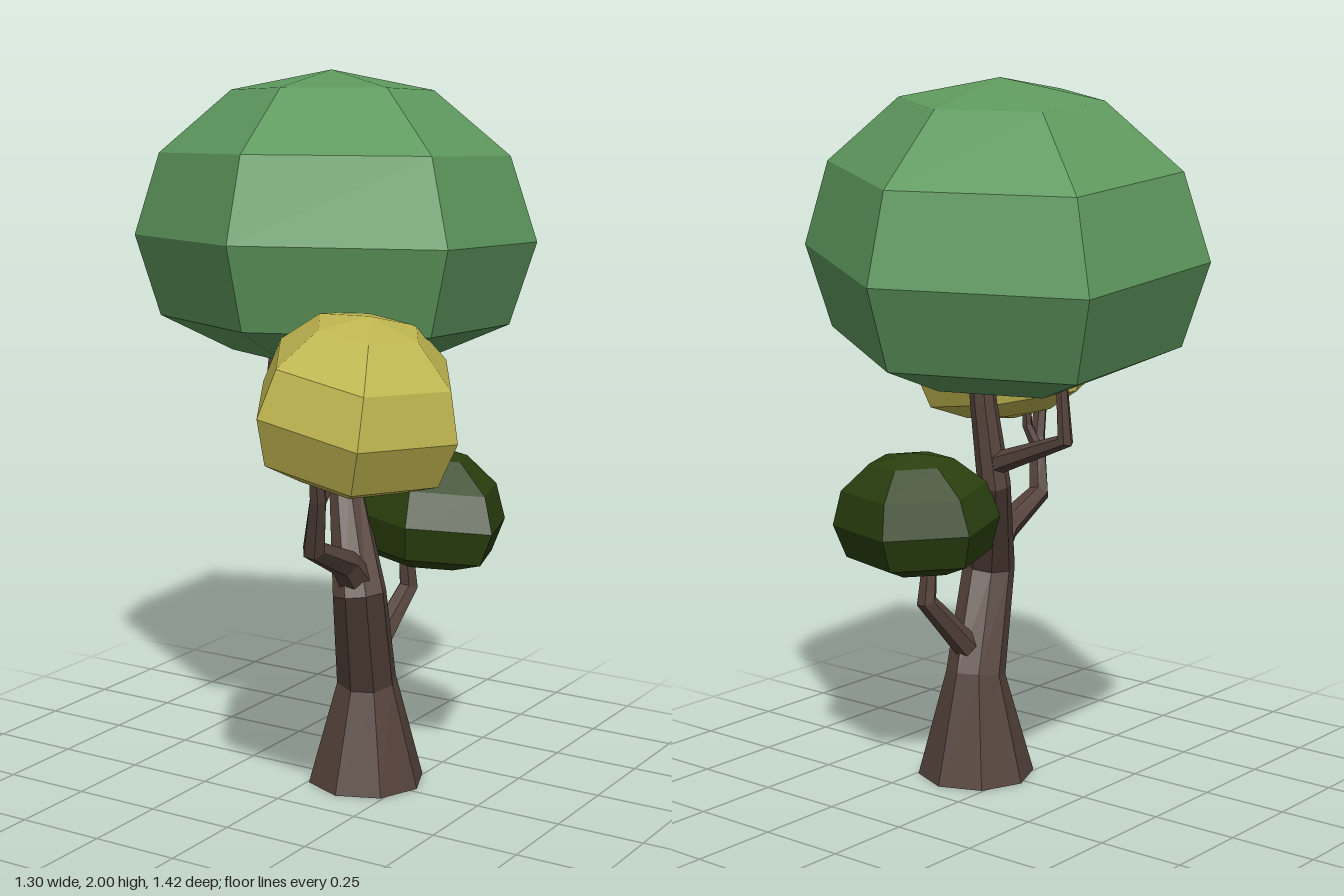
import * as THREE from 'three';

// Skins a stack of closed vertex loops, listed from bottom to top
function loft(loops, capTop) {
  const pos = [];
  const tri = (a, b, c) => {
    if (a.distanceTo(b) < 1e-5 || b.distanceTo(c) < 1e-5 || a.distanceTo(c) < 1e-5) return;
    for (const p of [a, b, c]) pos.push(p.x, p.y, p.z);
  };
  const n = loops[0].length;
  for (let j = 0; j < loops.length - 1; j++) {
    for (let i = 0; i < n; i++) {
      const k = (i + 1) % n;
      const lo = loops[j], hi = loops[j + 1];
      tri(lo[i], hi[i], lo[k]);
      tri(hi[i], hi[k], lo[k]);
    }
  }
  if (capTop) {
    const top = loops[loops.length - 1];
    for (let i = 1; i < n - 1; i++) tri(top[0], top[i + 1], top[i]);
  }
  const g = new THREE.BufferGeometry();
  g.setAttribute('position', new THREE.Float32BufferAttribute(pos, 3));
  g.computeVertexNormals();
  return g;
}

// Tapered faceted limb through points [x, y, z, radius]
function limb(name, points, sides, material) {
  const up = new THREE.Vector3(0, 1, 0);
  const p = points.map(([x, y, z]) => new THREE.Vector3(x, y, z));
  const dir = (a, b) => p[b].clone().sub(p[a]).normalize();
  const loops = points.map(([, , , r], j) => {
    const t = new THREE.Vector3();
    if (j > 0) t.add(dir(j - 1, j));
    if (j < p.length - 1) t.add(dir(j, j + 1));
    const q = new THREE.Quaternion().setFromUnitVectors(up, t.normalize());
    return Array.from({ length: sides }, (_, i) => {
      const a = (i / sides) * Math.PI * 2;
      return new THREE.Vector3(Math.cos(a) * r, 0, Math.sin(a) * r).applyQuaternion(q).add(p[j]);
    });
  });
  const mesh = new THREE.Mesh(loft(loops, true), material);
  mesh.name = name;
  return mesh;
}

// Six-sided dome with a flattened underside; [radius, height] of each ring
const RINGS = [[0, -0.79], [0.5, -0.69], [0.87, -0.49], [1, 0], [0.87, 0.5], [0.5, 0.88], [0, 1]];

// u and w are two equator corners 120 degrees apart; lean shifts rings sideways with height
function canopy(name, center, u, w, height, lean, color) {
  const c = new THREE.Vector3(...center);
  const a = new THREE.Vector3(...u), b = new THREE.Vector3(...w);
  const half = [a, a.clone().add(b), b];
  const corners = [...half, ...half.map((v) => v.clone().negate())];
  const loops = RINGS.map(([r, h]) => {
    const y = h * height;
    const mid = c.clone().add(new THREE.Vector3(lean[0] * y, y, lean[1] * y));
    return corners.map((v) => v.clone().multiplyScalar(r).add(mid));
  });
  const mesh = new THREE.Mesh(
    loft(loops, false),
    new THREE.MeshStandardMaterial({ color, flatShading: true })
  );
  mesh.name = name;
  return mesh;
}

export function createModel() {
  const tree = new THREE.Group();
  tree.name = 'tree';
  const bark = new THREE.MeshStandardMaterial({ color: 0x54423a, flatShading: true, side: THREE.DoubleSide });

  // Trunk and branches
  tree.add(
    limb('trunk', [
      [0.125, 0, -0.022, 0.168], [0.125, 0.3, -0.022, 0.086], [0.175, 0.59, 0.1, 0.076],
      [0.045, 0.87, -0.035, 0.047], [0.07, 1.1, -0.05, 0.038], [0.09, 1.35, -0.055, 0.032],
    ], 8, bark),
    limb('frontBranch', [
      [0.165, 0.6, 0.08, 0.055], [0.17, 0.69, 0.17, 0.042], [0.175, 0.765, 0.335, 0.033],
      [0.22, 0.92, 0.385, 0.024], [0.235, 1.08, 0.43, 0.017],
    ], 6, bark),
    limb('frontTwig', [
      [0.21, 0.89, 0.375, 0.02], [0.235, 0.96, 0.355, 0.016], [0.24, 1.08, 0.355, 0.013],
    ], 6, bark),
    limb('rightBranch', [
      [0.06, 0.92, -0.04, 0.034], [-0.215, 1.025, -0.045, 0.024], [-0.2, 1.25, -0.05, 0.015],
    ], 6, bark),
    limb('backBranch', [
      [0.13, 0.36, -0.03, 0.04], [0.165, 0.54, -0.19, 0.03], [0.16, 0.7, -0.175, 0.02],
    ], 6, bark)
  );

  // Foliage
  tree.add(
    canopy('topCanopy', [-0.06, 1.535, -0.13], [-0.04, -0.04, -0.58], [0.59, 0.045, 0.39],
      0.468, [-0.04, -0.06], 0x5f9a5f),
    canopy('frontCanopy', [0.34, 1.165, 0.385], [0.31, -0.045, 0.03], [-0.11, 0.02, 0.3],
      0.25, [0.13, -0.02], 0xc0b650),
    canopy('backCanopy', [0.21, 0.767, -0.18], [0.28, -0.01, 0.1], [-0.2, 0.02, 0.13],
      0.195, [0.02, -0.08], 0x2b400f)
  );
  return tree;
}
